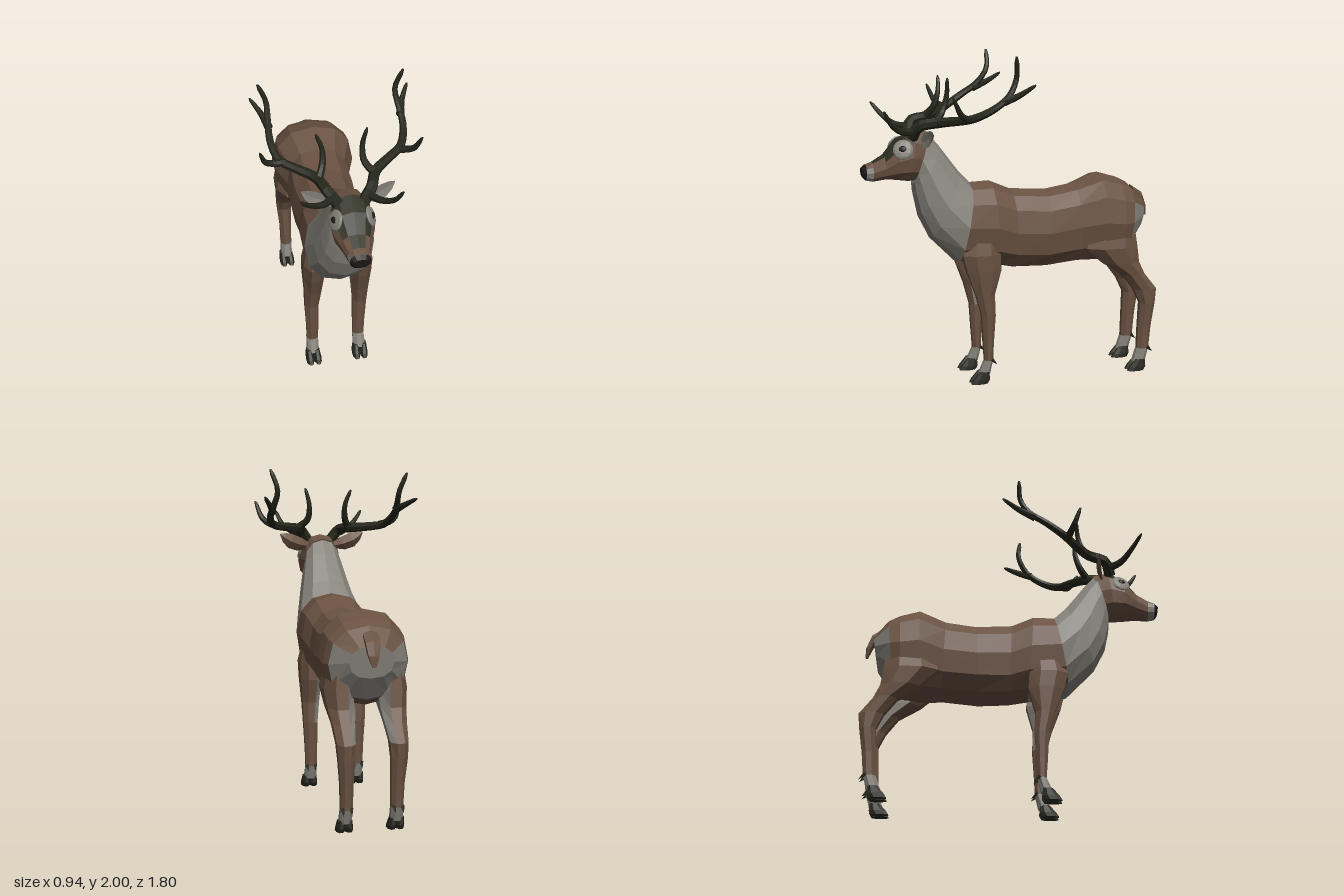
import * as THREE from 'three';

const V = (x, y, z) => new THREE.Vector3(x, y, z);
const paint = (name, color) => {
  const m = new THREE.MeshStandardMaterial({ color });
  m.name = name;
  return m;
};

// Closed, faceted skin over a list of rings; pick(segment, side) chooses the material
function loft(name, rings, pick) {
  const n = rings[0].length, tris = [];
  for (let i = 0; i < rings.length - 1; i++) {
    for (let j = 0; j < n; j++) {
      const k = (j + 1) % n, m = pick(i, j);
      const a = rings[i][j], b = rings[i][k], c = rings[i + 1][k], d = rings[i + 1][j];
      tris.push([a, b, c, m], [a, c, d, m]);
    }
  }
  [0, rings.length - 1].forEach((r, end) => {
    const mid = V(0, 0, 0);
    rings[r].forEach(p => mid.addScaledVector(p, 1 / n));
    const m = pick(end ? r - 1 : 0, n >> 1);
    for (let j = 0; j < n; j++) {
      const a = rings[r][j], b = rings[r][(j + 1) % n];
      tris.push(end ? [mid, a, b, m] : [mid, b, a, m]);
    }
  });
  // turn the skin outward
  let volume = 0;
  for (const [a, b, c] of tris) volume += a.dot(V(0, 0, 0).crossVectors(b, c));
  const byPaint = new Map();
  for (const [a, b, c, m] of tris) {
    if (!byPaint.has(m)) byPaint.set(m, []);
    byPaint.get(m).push(...(volume > 0 ? [a, b, c] : [a, c, b]));
  }
  const group = new THREE.Group();
  group.name = name;
  for (const [m, pts] of byPaint) {
    const g = new THREE.BufferGeometry().setFromPoints(pts);
    g.computeVertexNormals();
    const mesh = new THREE.Mesh(g, m);
    mesh.name = name + ' ' + m.name;
    group.add(mesh);
  }
  return group;
}

// Upright ring from its top point, bottom point and half width
const soft = v => Math.sign(v) * Math.abs(v) ** 0.85;
const hoop = ([zt, yt, zb, yb, w], n = 12) => Array.from({ length: n }, (_, j) => {
  const a = j / n * Math.PI * 2, t = (soft(Math.cos(a)) + 1) / 2;
  return V(w * soft(Math.sin(a)), yb + (yt - yb) * t, zb + (zt - zb) * t);
});

// Level ring from height, front z, rear z, inner x and outer x
const slab = (s, [y, zf, zr, xi, xo]) => Array.from({ length: 8 }, (_, j) => {
  const a = (j + 0.5) / 8 * Math.PI * 2, k = 0.5 / Math.cos(Math.PI / 8);
  return V(s * ((xi + xo) / 2 + (xo - xi) * k * Math.cos(a)), y, (zf + zr) / 2 + (zf - zr) * k * Math.sin(a));
});

// Tapered branch through a few points
function branch(name, pts, r0, r1, mat) {
  const curve = new THREE.CatmullRomCurve3(pts.map(p => V(...p))), N = pts.length * 3;
  const f = curve.computeFrenetFrames(N);
  const rings = Array.from({ length: N + 1 }, (_, i) => {
    const u = i / N, c = curve.getPointAt(u);
    const r = (r0 + (r1 - r0) * u) * (u > 0.97 ? 0.5 : 1);
    return Array.from({ length: 7 }, (_, j) => {
      const a = j / 7 * Math.PI * 2;
      return c.clone().addScaledVector(f.normals[i], r * Math.cos(a)).addScaledVector(f.binormals[i], r * Math.sin(a));
    });
  });
  return loft(name, rings, () => mat);
}

function faceted(name, geometry, mat) {
  const g = geometry.toNonIndexed();
  g.computeVertexNormals();
  const mesh = new THREE.Mesh(g, mat);
  mesh.name = name;
  return mesh;
}

export function createModel() {
  const deer = new THREE.Group();
  deer.name = 'deer';
  const brown = paint('brown coat', 0x6a5242), pale = paint('pale coat', 0x85827a);
  const dark = paint('dark forehead', 0x2e2f21), horn = paint('antler', 0x25261b);
  const hoofMat = paint('hoof', 0x2a2a22), black = paint('nose and eye', 0x1c1815);

  // Trunk and neck, from rump to throat
  const trunk = [
    [-0.84, 1.07, -0.81, 0.88, 0.13], [-0.75, 1.17, -0.71, 0.74, 0.23],
    [-0.68, 1.205, -0.66, 0.70, 0.25], [-0.56, 1.24, -0.55, 0.69, 0.255],
    [-0.40, 1.18, -0.42, 0.69, 0.195], [-0.22, 1.15, -0.20, 0.67, 0.205],
    [0.00, 1.165, -0.02, 0.675, 0.19], [0.13, 1.22, 0.10, 0.70, 0.212],
    [0.25, 1.215, 0.34, 0.73, 0.212], [0.32, 1.29, 0.50, 0.89, 0.178],
    [0.38, 1.37, 0.57, 1.03, 0.152], [0.44, 1.45, 0.595, 1.15, 0.13],
    [0.51, 1.53, 0.60, 1.22, 0.108],
  ];
  deer.add(loft('trunk', trunk.map(s => hoop(s)), (i, j) => {
    if (i === 0) return j < 2 || j > 9 ? brown : pale;
    if (i === 7 && (j === 5 || j === 6)) return pale;
    return i >= 8 ? pale : brown;
  }));

  // Head, from poll to nose
  const head = [
    [0.50, 1.53, 0.585, 1.24, 0.105], [0.59, 1.55, 0.63, 1.24, 0.122],
    [0.69, 1.50, 0.70, 1.25, 0.122], [0.77, 1.405, 0.77, 1.255, 0.088],
    [0.84, 1.365, 0.84, 1.245, 0.066], [0.88, 1.35, 0.882, 1.255, 0.062],
    [0.905, 1.33, 0.90, 1.275, 0.045],
  ];
  deer.add(loft('head', head.map(s => hoop(s)), (i, j) => {
    if (i === 5) return black;
    if (i === 4) return j < 2 || j > 9 ? brown : pale;
    const top = i === 3 ? j === 0 || j === 11 : j < 2 || j > 9;
    return i > 0 && top ? dark : brown;
  }));

  // Tail
  const tail = [
    [-0.78, 1.15, -0.80, 1.07, 0.05], [-0.855, 1.10, -0.82, 1.06, 0.048],
    [-0.885, 1.02, -0.845, 1.01, 0.035], [-0.887, 0.955, -0.87, 0.955, 0.012],
  ];
  deer.add(loft('tail', tail.map(s => hoop(s, 6)), () => brown));

  // Legs: the last segment is the pale pastern
  const legs = {
    front: [
      [0.95, 0.29, 0.11, 0.10, 0.18], [0.80, 0.33, 0.10, 0.085, 0.212],
      [0.70, 0.305, 0.095, 0.08, 0.21], [0.55, 0.25, 0.135, 0.095, 0.20],
      [0.42, 0.215, 0.13, 0.108, 0.195], [0.25, 0.205, 0.14, 0.11, 0.185],
      [0.14, 0.197, 0.145, 0.112, 0.182], [0.055, 0.235, 0.165, 0.112, 0.186],
    ],
    hind: [
      [0.98, -0.50, -0.74, 0.10, 0.21], [0.80, -0.44, -0.765, 0.07, 0.243],
      [0.70, -0.55, -0.78, 0.075, 0.23], [0.62, -0.68, -0.82, 0.085, 0.215],
      [0.52, -0.755, -0.90, 0.10, 0.205], [0.43, -0.797, -0.893, 0.105, 0.20],
      [0.28, -0.79, -0.872, 0.11, 0.186], [0.14, -0.785, -0.86, 0.112, 0.182],
      [0.055, -0.757, -0.837, 0.112, 0.186],
    ],
  };

  for (const s of [1, -1]) {
    for (const [key, rows] of Object.entries(legs)) {
      const last = rows.length - 2, z = key === 'front' ? 0.185 : -0.82;
      deer.add(loft(key + 'Leg', rows.map(r => slab(s, r)), (i, j) =>
        i === last || (i < 4 && (j === 3 || j === 4)) ? pale : brown));
      // cloven hoof and dewclaws
      for (const [a, b] of [[0.102, 0.148], [0.15, 0.197]]) {
        deer.add(loft('hoof', [
          [0.072, z + 0.045, z - 0.01, a + 0.008, b - 0.004],
          [0.025, z + 0.085, z - 0.015, a, b], [0, z + 0.1, z, a, b],
        ].map(r => slab(s, r)), () => hoofMat));
        const claw = faceted('dewclaw', new THREE.ConeGeometry(0.014, 0.05, 5), hoofMat);
        claw.position.set(s * (a + b) / 2, 0.13, z - 0.045);
        claw.rotation.x = -2.3;
        deer.add(claw);
      }
    }

    // Ear: pale cup in front, brown behind
    const ear = [[0.085, 1.48, 0.02], [0.14, 1.492, 0.04], [0.20, 1.515, 0.043], [0.24, 1.54, 0.028], [0.268, 1.562, 0.003]];
    deer.add(loft('ear', ear.map(([x, y, h]) => {
      const z = 0.575 - x * 0.16, p = (dx, dy, dz) => V(s * (x + dx), y + dy, z + dz);
      return [p(-h * 0.4, h, 0), p(0, 0, -h * 0.15), p(h * 0.4, -h, 0), p(0, 0, -h * 0.7)];
    }), (i, j) => j < 2 ? pale : brown));

    // Eye with its pale ring
    const eye = new THREE.Group();
    eye.name = 'eye';
    eye.position.set(s * 0.1, 1.445, 0.672);
    eye.lookAt(s * 0.92, 1.83, 0.97);
    const ring = faceted('eyeRing', new THREE.SphereGeometry(0.06, 10, 8), pale);
    ring.scale.z = 0.28;
    const ball = faceted('eyeball', new THREE.SphereGeometry(0.024, 8, 6), black);
    ball.position.z = 0.011;
    ball.scale.set(1.1, 0.8, 0.5);
    eye.add(ring, ball);
    deer.add(eye);
  }

  // Antlers: the two sides differ slightly
  const antlers = {
    left: {
      beam: [[0.075, 1.51, 0.61], [0.125, 1.58, 0.58], [0.17, 1.605, 0.47], [0.27, 1.625, 0.38], [0.35, 1.645, 0.31],
        [0.39, 1.70, 0.2], [0.385, 1.77, 0.11], [0.368, 1.87, 0.06], [0.41, 2.0, 0.07]],
      browTine: [[0.10, 1.55, 0.60], [0.15, 1.555, 0.68], [0.21, 1.60, 0.755], [0.25, 1.69, 0.81]],
      upperTine: [[0.16, 1.605, 0.49], [0.11, 1.66, 0.44], [0.105, 1.75, 0.41], [0.13, 1.86, 0.41]],
      forkTine: [[0.33, 1.635, 0.33], [0.40, 1.67, 0.39], [0.44, 1.78, 0.45]],
      rearTine: [[0.385, 1.74, 0.14], [0.41, 1.775, 0.06], [0.46, 1.84, -0.03]],
    },
    right: {
      beam: [[-0.075, 1.51, 0.61], [-0.125, 1.58, 0.58], [-0.17, 1.60, 0.47], [-0.27, 1.615, 0.38], [-0.35, 1.635, 0.31],
        [-0.385, 1.70, 0.2], [-0.38, 1.77, 0.1], [-0.38, 1.86, 0.04], [-0.425, 1.97, 0.03]],
      browTine: [[-0.10, 1.55, 0.60], [-0.17, 1.56, 0.67], [-0.25, 1.61, 0.73], [-0.315, 1.68, 0.785]],
      upperTine: [[-0.16, 1.60, 0.49], [-0.13, 1.66, 0.44], [-0.125, 1.75, 0.41], [-0.16, 1.845, 0.40]],
      forkTine: [[-0.33, 1.63, 0.33], [-0.43, 1.66, 0.36], [-0.475, 1.76, 0.40]],
      rearTine: [[-0.38, 1.74, 0.13], [-0.41, 1.775, 0.03], [-0.46, 1.82, -0.07]],
    },
  };
  for (const [side, parts] of Object.entries(antlers)) {
    const antler = new THREE.Group();
    antler.name = side + 'Antler';
    for (const [part, pts] of Object.entries(parts)) {
      antler.add(part === 'beam' ? branch(part, pts, 0.036, 0.013, horn) : branch(part, pts, 0.025, 0.01, horn));
    }
    deer.add(antler);
  }
  return deer;
}
